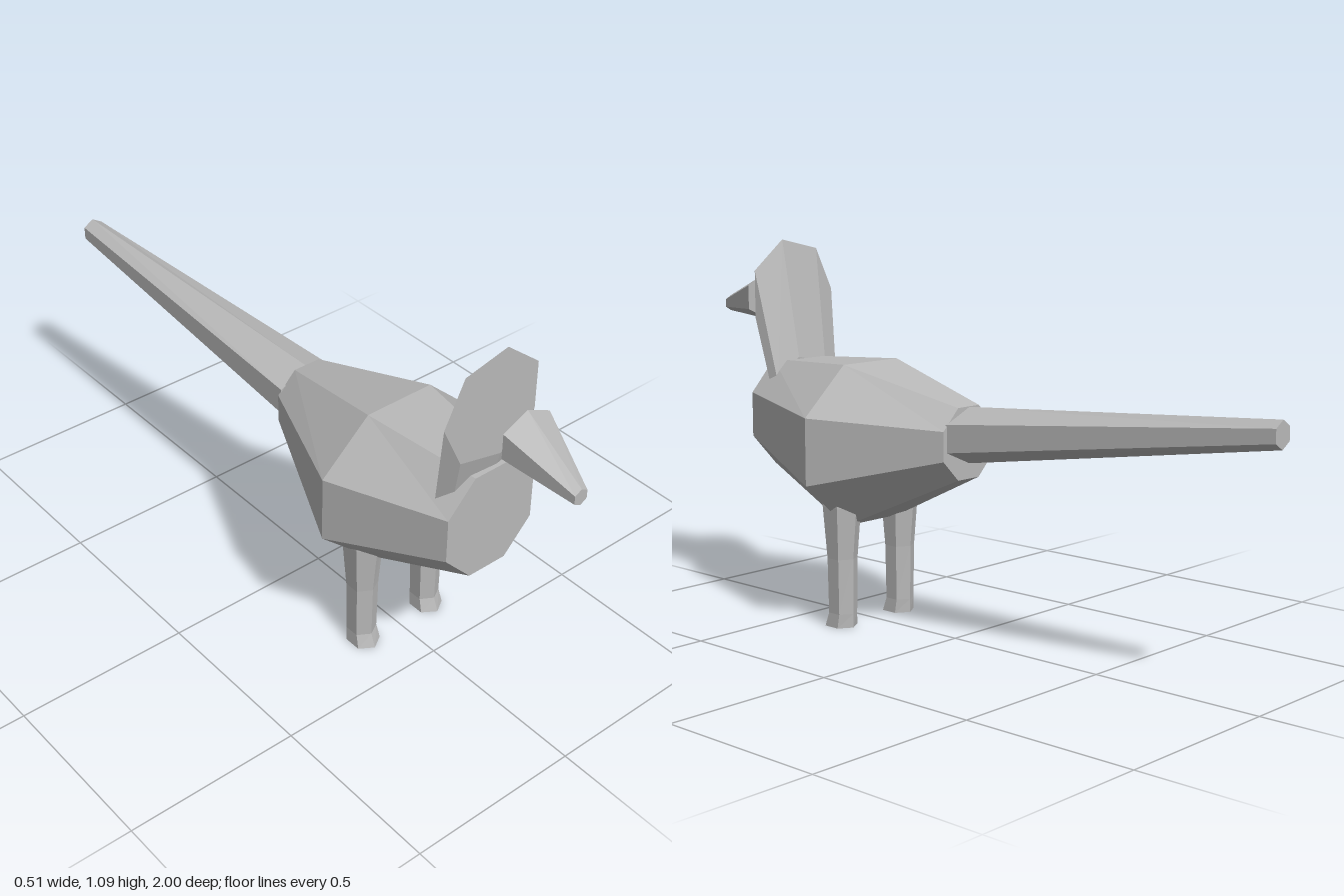
import * as THREE from 'three';

// Closed, faceted loft through elliptical rings [x, y, z, rx, ry], ordered by rising z.
function loft(rings, sides, phaseDegrees) {
  const phase = THREE.MathUtils.degToRad(phaseDegrees);
  const point = ([x, y, z, rx, ry], i) => {
    const a = phase + (i * 2 * Math.PI) / sides;
    return [x + rx * Math.cos(a), y + ry * Math.sin(a), z];
  };
  const out = [];
  const tri = (a, b, c) => out.push(...a, ...b, ...c);
  const first = rings[0], last = rings[rings.length - 1];
  for (let i = 0; i < sides; i++) {
    for (let r = 0; r < rings.length - 1; r++) {
      const a = point(rings[r], i), b = point(rings[r], i + 1);
      const c = point(rings[r + 1], i + 1), d = point(rings[r + 1], i);
      tri(a, b, c);
      tri(a, c, d);
    }
    tri(first.slice(0, 3), point(first, i + 1), point(first, i));
    tri(last.slice(0, 3), point(last, i), point(last, i + 1));
  }
  const geometry = new THREE.BufferGeometry();
  geometry.setAttribute('position', new THREE.Float32BufferAttribute(out, 3));
  geometry.computeVertexNormals();
  return geometry;
}

export function createModel() {
  const bird = new THREE.Group();
  bird.name = 'bird';
  const grey = new THREE.MeshStandardMaterial({ color: 0xb8b8b8 });
  grey.name = 'plain grey';
  grey.flatShading = true;

  const add = (name, geometry) => {
    const mesh = new THREE.Mesh(geometry, grey);
    mesh.name = name;
    bird.add(mesh);
    return mesh;
  };

  // Octagonal barrel body with a flat chest
  add('body', loft([
    [0, 0.56, -0.05, 0.108, 0.108],
    [0, 0.52, 0.328, 0.276, 0.25],
    [0, 0.58, 0.675, 0.157, 0.168],
  ], 8, 22.5));

  // Seven-sided neck leaning up to a flat face
  add('head', loft([
    [0, 0.624, 0.6, 0.124, 0.124],
    [-0.016, 0.93, 0.675, 0.159, 0.159],
  ], 7, 180));

  // Beak floating ahead of the face
  add('beak', loft([
    [-0.017, 0.911, 0.785, 0.087, 0.071],
    [-0.052, 0.875, 1, 0.023, 0.023],
  ], 6, 90));

  // Long tapered tail
  add('tail', loft([
    [-0.065, 0.68, -1, 0.035, 0.037],
    [-0.003, 0.58, -0.045, 0.104, 0.078],
  ], 6, 90));

  // Legs, lofted along z and then stood upright
  for (const [name, side] of [['leftLeg', 1], ['rightLeg', -1]]) {
    const x = side * 0.116;
    add(name, loft([
      [x, -0.338, 0, 0.045, 0.05],
      [x, -0.33, 0.04, 0.041, 0.042],
      [x, -0.33, 0.2, 0.044, 0.044],
      [x, -0.33, 0.35, 0.055, 0.058],
      [x, -0.33, 0.4, 0.055, 0.058],
    ], 6, 90).rotateX(-Math.PI / 2));
  }

  return bird;
}
